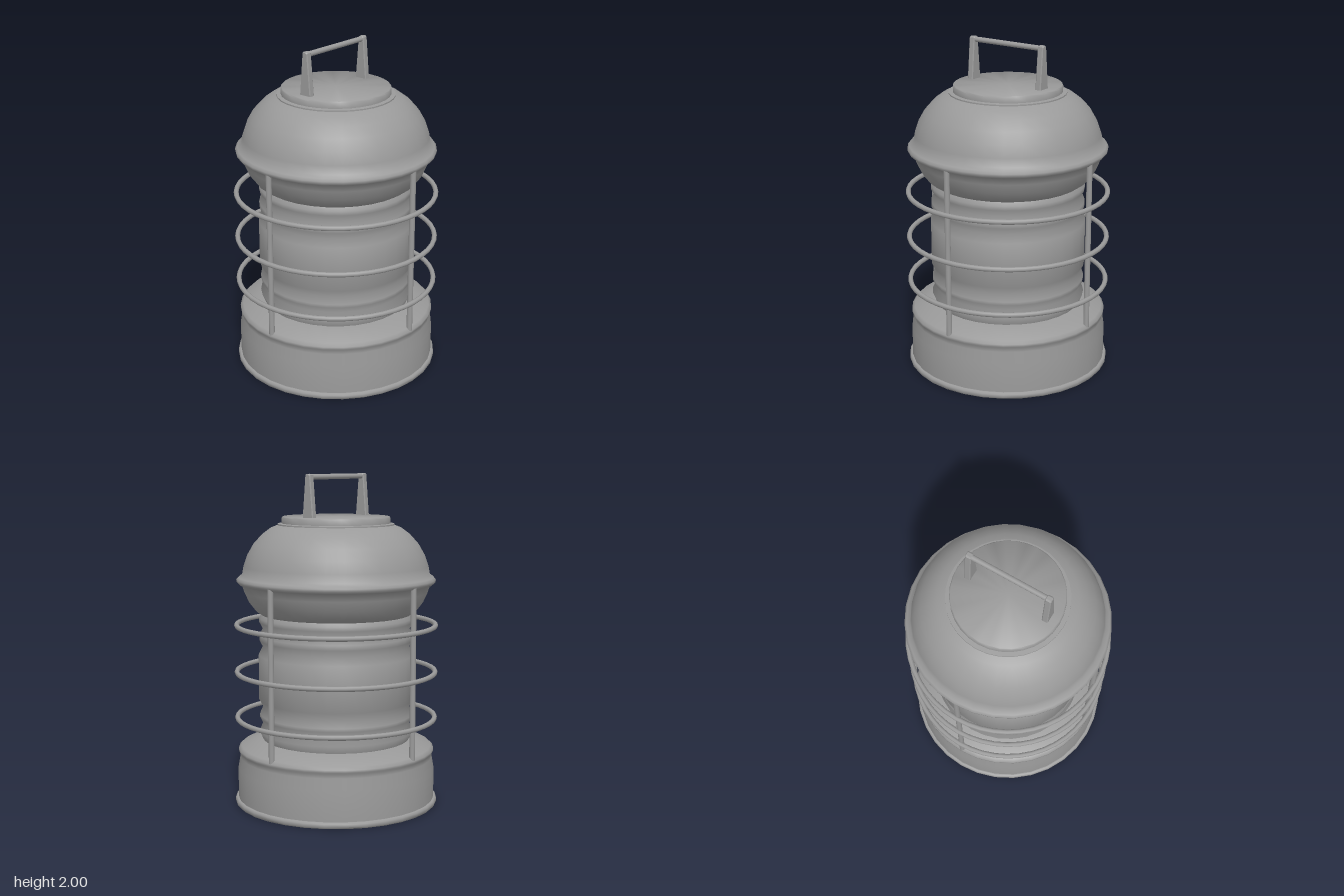
import * as THREE from 'three';
import { toCreasedNormals } from 'three/addons/utils/BufferGeometryUtils.js';

const SEGMENTS = 32;

export function createModel() {
  const lantern = new THREE.Group();
  lantern.name = 'cageLantern';
  const material = new THREE.MeshStandardMaterial({ color: 0x9a9a9a });

  function add(name, geometry, x = 0, y = 0, z = 0) {
    const mesh = new THREE.Mesh(geometry, material);
    mesh.name = name;
    mesh.position.set(x, y, z);
    lantern.add(mesh);
    return mesh;
  }

  // Turned part from [radius, height] pairs, listed bottom to top
  function turned(name, profile) {
    const points = profile.map(([r, y]) => new THREE.Vector2(r, y));
    return add(name, toCreasedNormals(new THREE.LatheGeometry(points, SEGMENTS), 1.15));
  }

  // Base drum with a foot rim and a sloping shoulder
  turned('base', [
    [0, 0], [0.61, 0], [0.618, 0.01], [0.618, 0.028], [0.61, 0.037], [0.6, 0.037],
    [0.6, 0.22], [0.588, 0.29], [0.588, 0.315], [0.597, 0.325], [0.597, 0.34],
    [0.58, 0.357], [0.45, 0.4], [0, 0.4],
  ]);

  // Ribbed glass cylinder
  turned('glass', [
    [0.445, 0.39], [0.467, 0.445], [0.445, 0.492], [0.465, 0.53], [0.465, 0.55],
    [0.445, 0.595], [0.47, 0.64], [0.47, 0.915], [0.445, 0.965], [0.465, 1.005],
    [0.465, 1.035], [0.445, 1.075], [0.465, 1.115], [0.465, 1.14], [0.445, 1.17],
  ]);

  // Domed hood with a rounded overhanging rim
  turned('hood', [
    [0, 1.157], [0.445, 1.157], [0.487, 1.185], [0.525, 1.235], [0.552, 1.295], [0.566, 1.338],
    [0.585, 1.344], [0.598, 1.357], [0.6, 1.372], [0.588, 1.386], [0.565, 1.4], [0.556, 1.45],
    [0.532, 1.52], [0.495, 1.585], [0.445, 1.64], [0.395, 1.677], [0.35, 1.695],
  ]);

  // Stepped lid
  turned('lid', [
    [0.35, 1.69], [0.35, 1.703], [0.325, 1.706], [0.325, 1.74], [0.32, 1.746], [0, 1.746],
  ]);

  // Wire cage: three hoops and four uprights
  for (const y of [0.53, 0.81, 1.095]) {
    const hoop = add('cageHoop', new THREE.TorusGeometry(0.602, 0.015, 8, 48), 0, y, 0);
    hoop.rotation.x = Math.PI / 2;
  }
  for (let i = 0; i < 4; i++) {
    const a = i * Math.PI / 2;
    add('cageUpright', new THREE.CylinderGeometry(0.017, 0.017, 1.02, 10),
      0.58 * Math.cos(a), 0.85, 0.58 * Math.sin(a));
  }

  // Tapered handle posts with chamfered edges, extruded across x
  const post = new THREE.Shape([
    [-0.036, 1.74], [0.036, 1.74], [0.014, 1.99], [0.008, 1.995], [-0.008, 1.995], [-0.014, 1.99],
  ].map(([z, y]) => new THREE.Vector2(z, y)));
  const postGeometry = new THREE.ExtrudeGeometry(post, {
    depth: 0.026, bevelThickness: 0.006, bevelSize: 0.005, bevelSegments: 1,
  });
  postGeometry.translate(0, 0, -0.013).rotateY(Math.PI / 2);
  for (const x of [-0.252, 0.241]) add('handlePost', postGeometry, x, 0, 0);

  // Handle bar
  const bar = add('handleBar', new THREE.CylinderGeometry(0.016, 0.016, 0.48, 12), -0.005, 1.982, 0);
  bar.rotation.z = Math.PI / 2;

  return lantern;
}
